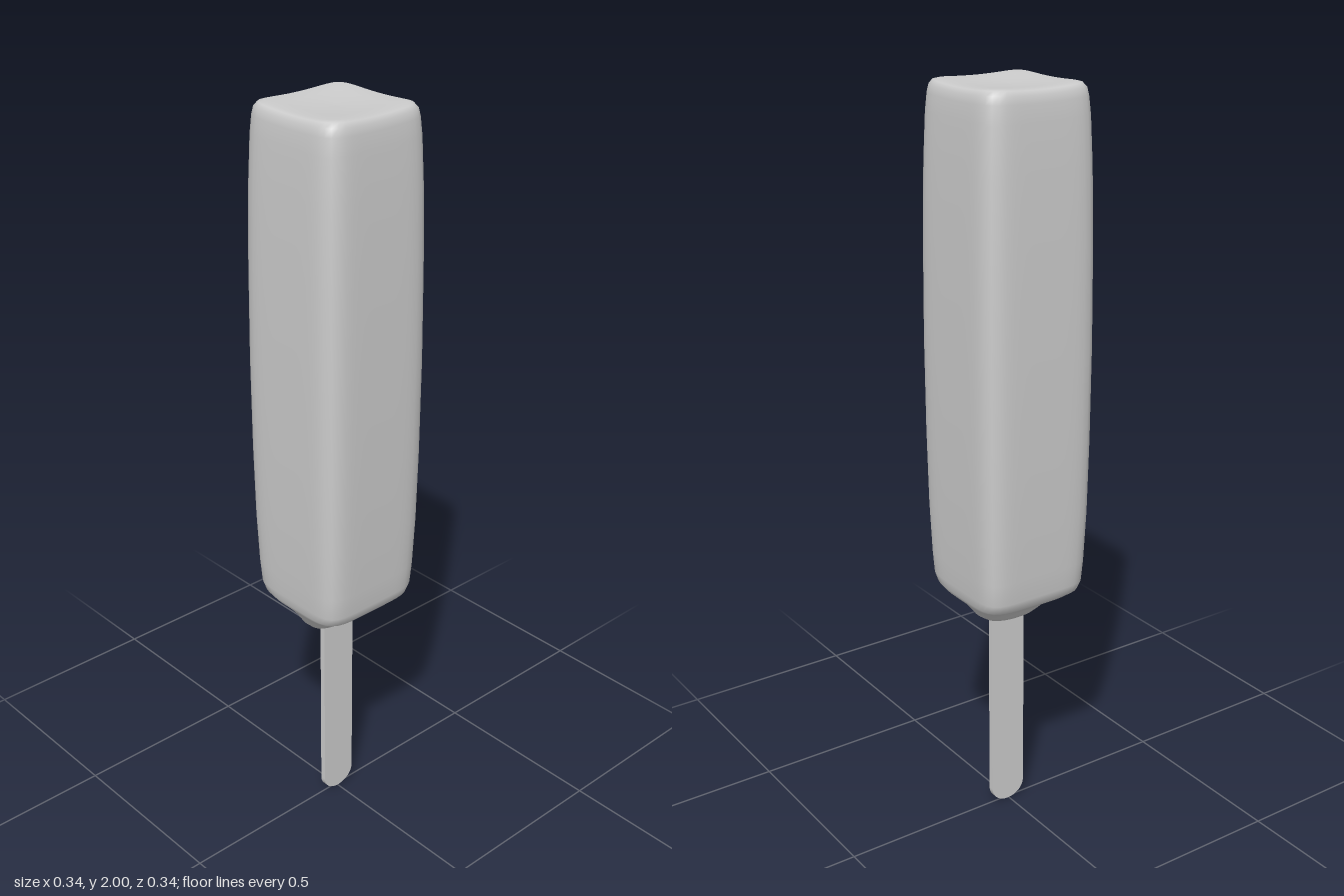
import * as THREE from 'three';

const material = new THREE.MeshStandardMaterial({ color: 0xcccccc });
const SEGMENTS = 72;

// Each section: height, half width, half depth, squareness, x offset
const SECTIONS = [
  [0.58, 0, 0, 2.2, -0.01],
  [0.58, 0.05, 0.025, 2.2, -0.01],
  [0.587, 0.078, 0.042, 2.2, -0.008],
  [0.605, 0.1, 0.06, 2.4, -0.005],
  [0.63, 0.116, 0.077, 2.6, -0.003],
  [0.65, 0.132, 0.105, 3.2, -0.002],
  [0.662, 0.145, 0.135, 4.5, 0],
  [0.675, 0.152, 0.15, 5.5, 0],
  [0.7, 0.156, 0.156, 6.5, 0],
  [0.76, 0.159, 0.159, 7, 0],
  [0.9, 0.164, 0.164, 7, 0],
  [1.1, 0.167, 0.167, 7, 0],
  [1.35, 0.168, 0.168, 7, 0],
  [1.6, 0.166, 0.166, 7, 0],
  [1.8, 0.162, 0.162, 7, 0],
  [1.92, 0.157, 0.157, 7, 0],
  [1.965, 0.153, 0.153, 7, 0],
  [1.985, 0.149, 0.149, 7, 0],
  [1.997, 0.141, 0.141, 7, 0],
  [2.002, 0.13, 0.13, 7, 0],
  [2.002, 0.09, 0.09, 6, 0],
  [2.002, 0.045, 0.045, 5, 0],
  [2.002, 0, 0, 4, 0],
];

// Soft square bar lofted through superellipse sections
function barGeometry() {
  const positions = [];
  const indices = [];
  for (const [y, w, d, n, offset] of SECTIONS) {
    for (let i = 0; i < SEGMENTS; i++) {
      const a = (i / SEGMENTS) * Math.PI * 2;
      const c = Math.cos(a);
      const s = Math.sin(a);
      const r = Math.pow(Math.abs(c) ** n + Math.abs(s) ** n, -1 / n);
      const x = c * r * w;
      const z = s * r * d;
      // The top sags slightly between its corners
      const sag = Math.max(0, (y - 1.9) / 0.1) * 0.014 * (1 - Math.min(1, (x * x + z * z) / 0.036));
      positions.push(x + offset, y - sag, z);
    }
  }
  for (let j = 0; j < SECTIONS.length - 1; j++) {
    for (let i = 0; i < SEGMENTS; i++) {
      const k = (i + 1) % SEGMENTS;
      const a = j * SEGMENTS + i;
      const b = j * SEGMENTS + k;
      const up = a + SEGMENTS;
      const upNext = b + SEGMENTS;
      if (j > 0) indices.push(a, up, b);
      if (j < SECTIONS.length - 2) indices.push(b, up, upNext);
      else indices.push();
      if (j === 0) continue;
    }
  }
  const geometry = new THREE.BufferGeometry();
  geometry.setAttribute('position', new THREE.Float32BufferAttribute(positions, 3));
  geometry.setIndex(indices);
  geometry.computeVertexNormals();
  return geometry;
}

// Thin flat stick with a rounded lower end
function stickGeometry() {
  const half = 0.052;
  const top = 0.68;
  const round = 0.046;
  const shape = new THREE.Shape();
  shape.moveTo(half, top);
  shape.lineTo(-half, top);
  shape.lineTo(-half, round);
  shape.absellipse(0, round, half, round, Math.PI, Math.PI * 2, false);
  shape.closePath();
  const depth = 0.016;
  const geometry = new THREE.ExtrudeGeometry(shape, { depth, bevelEnabled: false, curveSegments: 24 });
  geometry.translate(0.003, 0, -depth / 2);
  return geometry;
}

export function createModel() {
  const model = new THREE.Group();
  model.name = 'iceLolly';
  const parts = { iceBar: barGeometry(), stick: stickGeometry() };
  for (const [name, geometry] of Object.entries(parts)) {
    const mesh = new THREE.Mesh(geometry, material);
    mesh.name = name;
    model.add(mesh);
  }
  return model;
}
